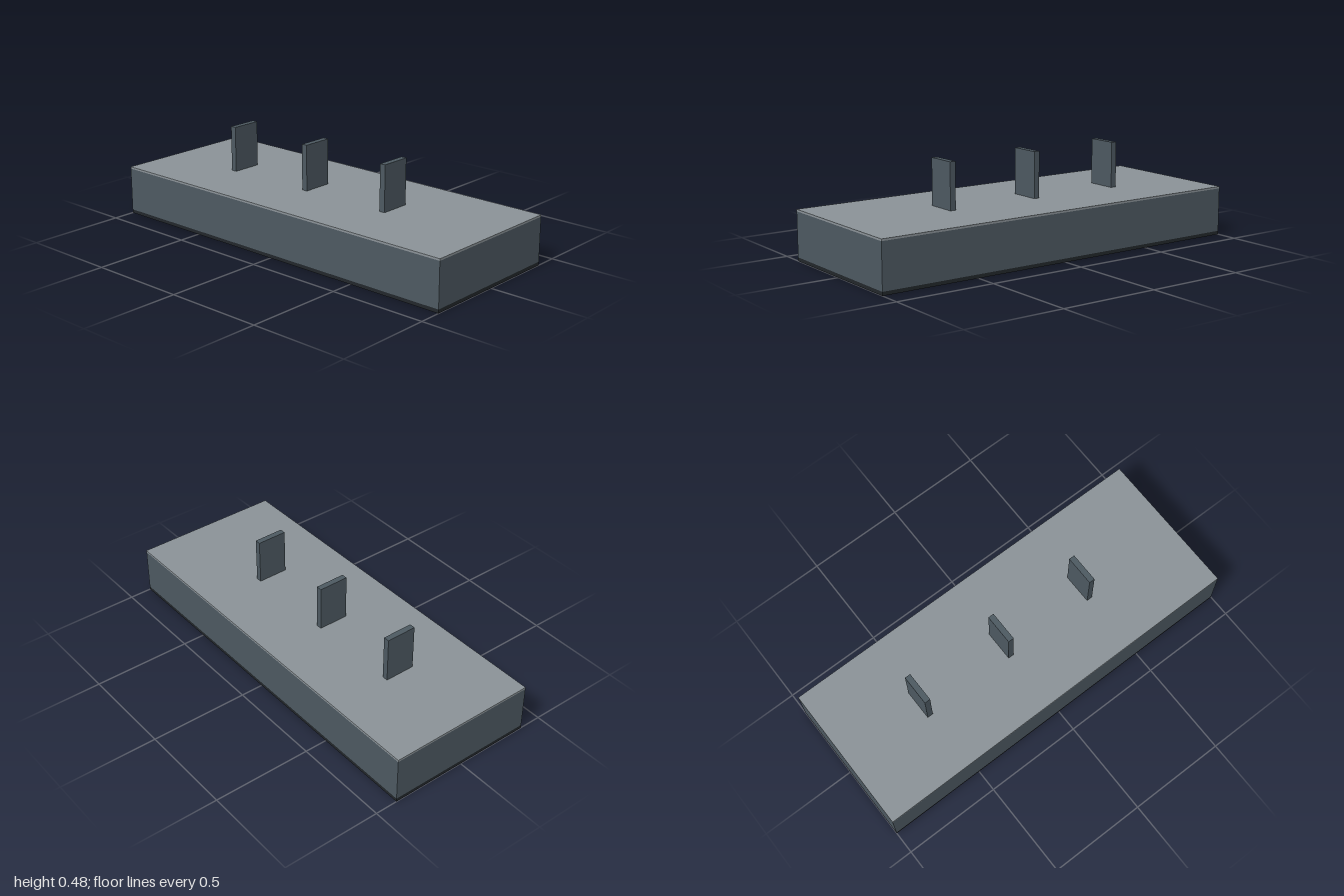
import * as THREE from 'three';

export function createModel() {
  const model = new THREE.Group();
  model.name = 'finnedSlab';

  const dark = new THREE.MeshStandardMaterial({ color: 0x22272b });
  const slate = new THREE.MeshStandardMaterial({ color: 0x4d5961 });
  const pale = new THREE.MeshStandardMaterial({ color: 0x8a9297 });

  // Box resting between two heights
  function addBox(name, width, depth, bottom, top, z, material) {
    const mesh = new THREE.Mesh(new THREE.BoxGeometry(width, top - bottom, depth), material);
    mesh.name = name;
    mesh.position.set(0, (bottom + top) / 2, z);
    model.add(mesh);
  }

  // Stacked slab: dark base, thick body, thin pale top
  addBox('basePlate', 0.77, 2, 0, 0.018, 0, dark);
  addBox('body', 0.77, 2, 0.018, 0.24, 0, slate);
  addBox('topPlate', 0.77, 2, 0.24, 0.25, 0, pale);

  // Row of upright fins, evenly spaced along the slab
  for (let i = 0; i < 3; i++) {
    addBox(`fin${i + 1}`, 0.156, 0.03, 0.25, 0.482, 0.428 - i * 0.49, slate);
  }

  return model;
}
